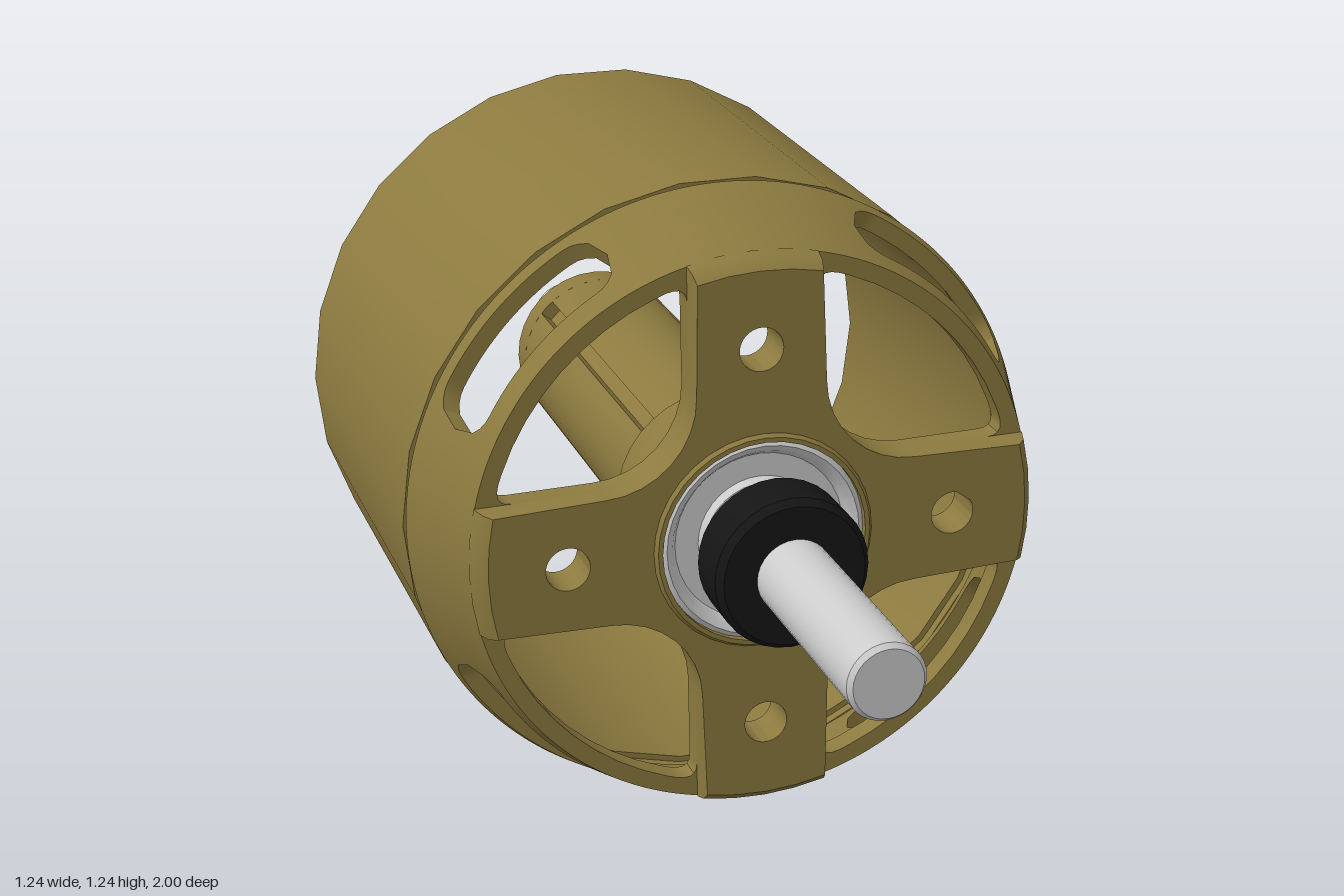
import * as THREE from 'three';
import { toCreasedNormals } from 'three/addons/utils/BufferGeometryUtils.js';

const GOLD = new THREE.MeshStandardMaterial({ color: 0x8c7a3f });
const GREY = new THREE.MeshStandardMaterial({ color: 0xcccccc });
const BLACK = new THREE.MeshStandardMaterial({ color: 0x151515 });
const TWIST = 0.019; // slight turn of the front mount about the axis

function add(parent, name, geometry, material) {
  const flat = geometry.index ? geometry.toNonIndexed() : geometry;
  const mesh = new THREE.Mesh(toCreasedNormals(flat, 0.5), material);
  mesh.name = name;
  parent.add(mesh);
  return mesh;
}

// Revolve [radius, z] points about the z axis (outside runs towards +z)
function turned(points, sides = 32) {
  const geo = new THREE.LatheGeometry(points.map(([r, z]) => new THREE.Vector2(r, z)), sides, Math.PI / 2);
  return geo.rotateX(Math.PI / 2);
}

function extruded(shape, z0, z1, steps = 1) {
  const geo = new THREE.ExtrudeGeometry(shape, { depth: z1 - z0, steps, bevelEnabled: false, curveSegments: 20 });
  return geo.translate(0, 0, z0);
}

function circle(x, y, r) {
  return new THREE.Path().absarc(x, y, r, 0, Math.PI * 2, true);
}

function polar(r, a) {
  return new THREE.Vector2(r * Math.cos(a), r * Math.sin(a));
}

// Points along an arc, turned by a whole number of quarters
function arcPoints(cx, cy, r, a0, a1, n, turn = 0) {
  return Array.from({ length: n + 1 }, (_, i) => polar(r, a0 + (a1 - a0) * i / n)
    .add(new THREE.Vector2(cx, cy)).rotateAround(new THREE.Vector2(), turn));
}

function addHoles(shape) {
  shape.holes.push(circle(0, 0, 0.2));
  for (let k = 0; k < 4; k++) {
    const p = polar(0.376, k * Math.PI / 2);
    shape.holes.push(circle(p.x, p.y, 0.042));
  }
}

const ARM = 0.125, FILLET = 0.175;

// Raised four-armed cross with chamfered arm ends
function crossGeometry() {
  const pts = [], half = Math.asin(ARM / 0.55), c = ARM + FILLET;
  for (let k = 0; k < 4; k++) {
    const turn = k * Math.PI / 2;
    pts.push(...arcPoints(0, 0, 0.55, -half, half, 4, turn));
    pts.push(...arcPoints(c, c, FILLET, -Math.PI / 2, -Math.PI, 8, turn));
  }
  const shape = new THREE.Shape(pts);
  addHoles(shape);
  const geo = extruded(shape, 0.325, 0.37, 3), p = geo.attributes.position;
  const radii = [0.55, 0.545, 0.54, 0.525];
  for (let i = 0; i < p.count; i++) {
    const r = Math.hypot(p.getX(i), p.getY(i));
    if (r < 0.5) continue;
    const s = radii[Math.round((p.getZ(i) - 0.325) / 0.015)] / r;
    p.setXY(i, p.getX(i) * s, p.getY(i) * s);
  }
  return geo;
}

// Disc behind the cross with four round-cornered windows
function webGeometry() {
  const shape = new THREE.Shape().absarc(0, 0, 0.535, 0, Math.PI * 2, false);
  addHoles(shape);
  const c = ARM + FILLET, R = 0.515, a = Math.asin(ARM / R);
  const corner = polar(R, a);
  for (let k = 0; k < 4; k++) {
    const pts = arcPoints(c, c, FILLET, -Math.PI, -Math.PI / 2, 8);
    const start = new THREE.Vector2(0.465, ARM);
    const round1 = new THREE.QuadraticBezierCurve(start, corner, polar(R, a + 0.08)).getPoints(5);
    const round2 = round1.map((p) => new THREE.Vector2(p.y, p.x)).reverse();
    pts.push(...round1, ...arcPoints(0, 0, R, a + 0.12, Math.PI / 2 - a - 0.12, 8), ...round2);
    pts.forEach((p) => p.rotateAround(new THREE.Vector2(), k * Math.PI / 2));
    shape.holes.push(new THREE.Path(pts));
  }
  return extruded(shape, 0.28, 0.325);
}

// Half height of the side slots at a given angle
function slotHalf(angle) {
  const q = Math.PI / 2;
  const d = Math.abs((((angle % q) + q) % q) - q / 2) * 0.59;
  const L = 0.215, c = 0.06;
  if (d > L) return 0;
  return d < L - c ? 0.07 : 0.01 + Math.sqrt(Math.max(0, c * c - (d - L + c) ** 2));
}

// Conical wall band whose z limits vary with angle
function bandGeometry(zFrom, zTo) {
  const N = 240, pos = [], idx = [];
  const radius = (z) => 0.618 - (z - 0.115) / 3;
  for (let i = 0; i < N; i++) {
    const a = i / N * Math.PI * 2, zA = zFrom(a), zB = zTo(a);
    for (const [r, z] of [[radius(zA), zA], [radius(zB), zB], [radius(zB) - 0.033, zB], [radius(zA) - 0.033, zA]])
      pos.push(r * Math.cos(a), r * Math.sin(a), z);
    for (let j = 0; j < 4; j++) {
      const n = (i + 1) % N, k = (j + 1) % 4;
      idx.push(i * 4 + j, n * 4 + j, n * 4 + k, i * 4 + j, n * 4 + k, i * 4 + k);
    }
  }
  const geo = new THREE.BufferGeometry();
  geo.setAttribute('position', new THREE.Float32BufferAttribute(pos, 3));
  geo.setIndex(idx);
  return geo;
}

export function createModel() {
  const model = new THREE.Group();
  model.name = 'motor';
  const body = new THREE.Group();
  body.name = 'body';
  body.position.y = 0.62;
  model.add(body);

  // Outer can: open tube with a small inner step at each end
  add(body, 'outerCan', turned([[0.62, -0.75], [0.62, 0.095], [0.6, 0.095], [0.6, 0.075], [0.588, 0.075],
    [0.588, -0.73], [0.6, -0.73], [0.6, -0.75], [0.62, -0.75]], 26), GOLD);

  // Front mount: cross, web, slotted conical wall
  const mount = new THREE.Group();
  mount.name = 'frontMount';
  mount.rotation.z = TWIST;
  body.add(mount);
  add(mount, 'mountCross', crossGeometry(), GOLD);
  add(mount, 'mountWeb', webGeometry(), GOLD);
  add(mount, 'wallRear', bandGeometry(() => 0.115, (a) => 0.21 - slotHalf(a)), GOLD);
  add(mount, 'wallFront', bandGeometry((a) => 0.21 + slotHalf(a), () => 0.325), GOLD);

  // Hub holding the front bearing
  add(body, 'hub', turned([[0.12, 0.09], [0.2, 0.09], [0.205, 0.12], [0.225, 0.2], [0.24, 0.29],
    [0.213, 0.29], [0.213, 0.37], [0.207, 0.378], [0.198, 0.378], [0.198, 0.25], [0.12, 0.25], [0.12, 0.09]], 36), GOLD);
  add(body, 'frontBearing', turned([[0.07, 0.28], [0.2, 0.28], [0.2, 0.362], [0.188, 0.37], [0.175, 0.362],
    [0.165, 0.345], [0.12, 0.345], [0.115, 0.365], [0.07, 0.365]], 36), GREY);

  // Centre tube with a lengthwise groove, and its stepped rear end
  const groove = Math.PI * 0.75, gap = 0.1;
  const ring = arcPoints(0, 0, 0.172, groove + gap, groove - gap + Math.PI * 2, 32);
  ring.push(polar(0.145, groove - gap), polar(0.145, groove + gap));
  const tube = new THREE.Shape(ring);
  tube.holes.push(circle(0, 0, 0.12));
  add(body, 'centreTube', extruded(tube, -0.7, 0.1), GOLD);
  add(body, 'tubeRearEnd', turned([[0.073, -0.7], [0.172, -0.7], [0.172, -0.755], [0.166, -0.762], [0.145, -0.762],
    [0.14, -0.74], [0.125, -0.74], [0.12, -0.722], [0.1, -0.722], [0.095, -0.735], [0.073, -0.735]].reverse(), 32), GOLD);

  // Shaft with two locking flats near the rear
  const R = 0.072;
  add(body, 'shaftRear', turned([[0, -1], [R - 0.008, -1], [R, -0.99], [R, -0.91], [0, -0.91]]), GREY);
  add(body, 'shaftFront', turned([[0, -0.83], [R, -0.83], [R, 0.375], [0.062, 0.38], [0.062, 0.39], [R, 0.395],
    [R, 0.99], [R - 0.008, 1], [0, 1]]), GREY);
  const flats = arcPoints(0, 0, R, 0, Math.PI * 2, 48).slice(0, 48)
    .map((p) => new THREE.Vector2(Math.max(p.x, -0.038), Math.max(p.y, -0.06)));
  add(body, 'shaftFlats', extruded(new THREE.Shape(flats), -0.91, -0.83), GREY);

  // Black collar
  add(body, 'collar', turned([[0.07, 0.415], [0.135, 0.415], [0.147, 0.427], [0.147, 0.525],
    [0.135, 0.54], [0.07, 0.54]], 32), BLACK);
  return model;
}
